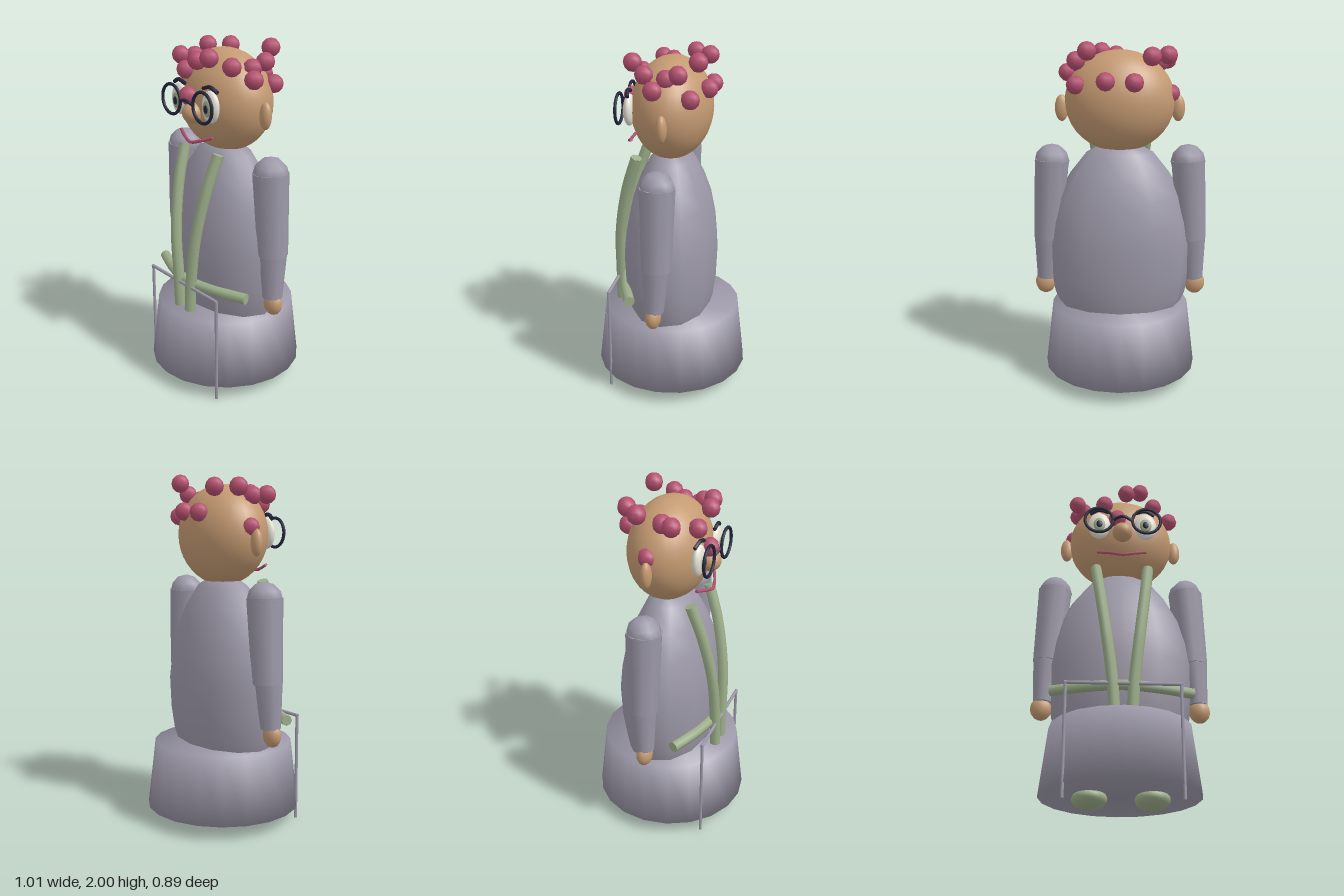
import * as THREE from 'three';

const mat = (name, color, side = THREE.FrontSide) => {
  const m = new THREE.MeshStandardMaterial({ color, side });
  m.name = name;
  return m;
};
const V = (p) => new THREE.Vector3(...p);

export function createModel() {
  const model = new THREE.Group();
  model.name = 'figure';
  const cloth = mat('grey cloth', 0x9c98a8, THREE.DoubleSide);
  const skin = mat('skin', 0xc49a72);
  const pink = mat('pink', 0xb4506f);
  const green = mat('sage green', 0x9dae8a);
  const dark = mat('dark navy', 0x25253c);
  const white = mat('eye white', 0xe6e2d6);

  const add = (name, geo, material, pos = [0, 0, 0]) => {
    const m = new THREE.Mesh(geo, material);
    m.name = name;
    m.position.set(...pos);
    model.add(m);
    return m;
  };
  const ball = (name, material, pos, radii, ws = 20, hs = 14) =>
    add(name, new THREE.SphereGeometry(1, ws, hs).scale(...radii), material, pos);
  const tube = (name, material, pts, r, sides = 8, seg = 16) => {
    const curve = new THREE.CatmullRomCurve3(pts.map(V));
    add(name, new THREE.TubeGeometry(curve, seg, r, sides), material);
    // Flat end caps
    for (const t of [0, 1]) {
      const cap = add(name + 'End', new THREE.CircleGeometry(r, sides), material, curve.getPoint(t).toArray());
      const dir = curve.getTangent(t).multiplyScalar(t ? 1 : -1);
      cap.quaternion.setFromUnitVectors(V([0, 0, 1]), dir);
    }
  };
  // Tapered rod from a to b
  const rod = (name, material, a, b, ra, rb, sides = 8) => {
    const d = V(b).sub(V(a));
    const m = add(name, new THREE.CylinderGeometry(rb, ra, d.length(), sides), material,
      V(a).addScaledVector(d, 0.5).toArray());
    m.quaternion.setFromUnitVectors(V([0, 1, 0]), d.normalize());
  };
  const lathe = (name, pts, sides) =>
    add(name, new THREE.LatheGeometry(pts.map((p) => new THREE.Vector2(...p)), sides), cloth);

  // Skirt and body
  lathe('skirt', [[0, 0.08], [0.446, 0.08], [0.4, 0.465], [0, 0.465]], 20);
  lathe('body', [[0.35, 0.44], [0.385, 0.52], [0.41, 0.65], [0.42, 0.83], [0.4, 0.97],
    [0.355, 1.12], [0.285, 1.25], [0.19, 1.37], [0.1, 1.42], [0, 1.43]], 12).scale.z = 0.645;

  // Head and face
  ball('head', skin, [0, 1.66, -0.003], [0.31, 0.285, 0.226], 32, 20);
  ball('nose', skin, [0, 1.615, 0.225], [0.06, 0.058, 0.06]);
  tube('mouth', pink, [[-0.145, 1.49, 0.2], [-0.06, 1.467, 0.232], [0, 1.453, 0.243],
    [0.06, 1.469, 0.232], [0.14, 1.498, 0.2]], 0.009, 6);

  for (const s of [-1, 1]) {
    // Ears, eyes, brows and glasses
    ball('ear', skin, [s * 0.328, 1.622, -0.01], [0.038, 0.075, 0.03]);
    ball('eye', white, [s * 0.137, 1.667, 0.208], [0.066, 0.088, 0.032]);
    ball('iris', green, [s * 0.137, 1.662, 0.232], [0.036, 0.046, 0.012]);
    ball('pupil', dark, [s * 0.137, 1.66, 0.242], [0.018, 0.023, 0.007], 12, 8);
    tube('eyebrow', dark, [[s * 0.193, 1.752, 0.205], [s * 0.14, 1.775, 0.215], [s * 0.082, 1.76, 0.215]], 0.011, 6);
    add('lensRim', new THREE.TorusGeometry(0.083, 0.009, 8, 28), dark, [s * 0.14, 1.672, 0.266]);

    // Arms
    ball('shoulder', cloth, [s * 0.39, 1.315, 0], [0.1, 0.1, 0.1], 8, 6);
    rod('upperArm', cloth, [s * 0.42, 0.86, 0], [s * 0.39, 1.325, 0], 0.085, 0.1, 10);
    rod('forearm', cloth, [s * 0.437, 0.61, 0.012], [s * 0.425, 0.87, 0.002], 0.056, 0.078, 10);
    ball('hand', skin, [s * 0.445, 0.575, 0.015], [0.06, 0.068, 0.045], 14, 10);

    // Shoulder straps, shoes and frame legs
    tube('strap', green, [[s * 0.152, 1.4, 0.17], [s * 0.128, 1.2, 0.235], [s * 0.092, 0.92, 0.287],
      [s * 0.06, 0.65, 0.298], [s * 0.048, 0.465, 0.3]], 0.032, 8, 20);
    ball('shoe', green, [s * 0.168, 0.058, 0.055], [0.096, 0.054, 0.122]);
    rod('frameLeg', cloth, [s * 0.308, 0, 0.31], [s * 0.308, 0.625, 0.31], 0.009, 0.009);
  }
  tube('glassesBridge', dark, [[-0.058, 1.672, 0.266], [0, 1.692, 0.28], [0.058, 1.672, 0.266]], 0.009, 6);

  // Belt and front rail
  tube('belt', green, [[-0.39, 0.625, 0.165], [-0.2, 0.625, 0.235], [0, 0.625, 0.275],
    [0.2, 0.625, 0.235], [0.39, 0.625, 0.165]], 0.031, 8, 20);
  rod('frameRail', cloth, [-0.315, 0.62, 0.31], [0.315, 0.62, 0.31], 0.01, 0.01);

  // Hair curls
  const curls = [
    [-0.175, 1.92, -0.18], [-0.08, 1.785, -0.218], [0.075, 1.79, -0.215], [0.175, 1.948, -0.175],
    [0.24, 1.765, -0.145], [0.24, 1.89, -0.08], [0.217, 1.86, -0.01], [0.295, 1.815, 0.045],
    [0.195, 1.875, 0.112], [0.108, 1.92, 0.195], [0.025, 1.9, 0.212], [-0.03, 1.705, 0.232],
    [-0.106, 1.83, 0.19], [-0.268, 1.88, 0.105], [-0.227, 1.875, 0.038], [-0.265, 1.92, -0.085],
    [-0.285, 1.705, -0.02],
  ];
  for (const c of curls) ball('hairCurl', pink, c, [0.052, 0.052, 0.052], 8, 6);

  return model;
}
